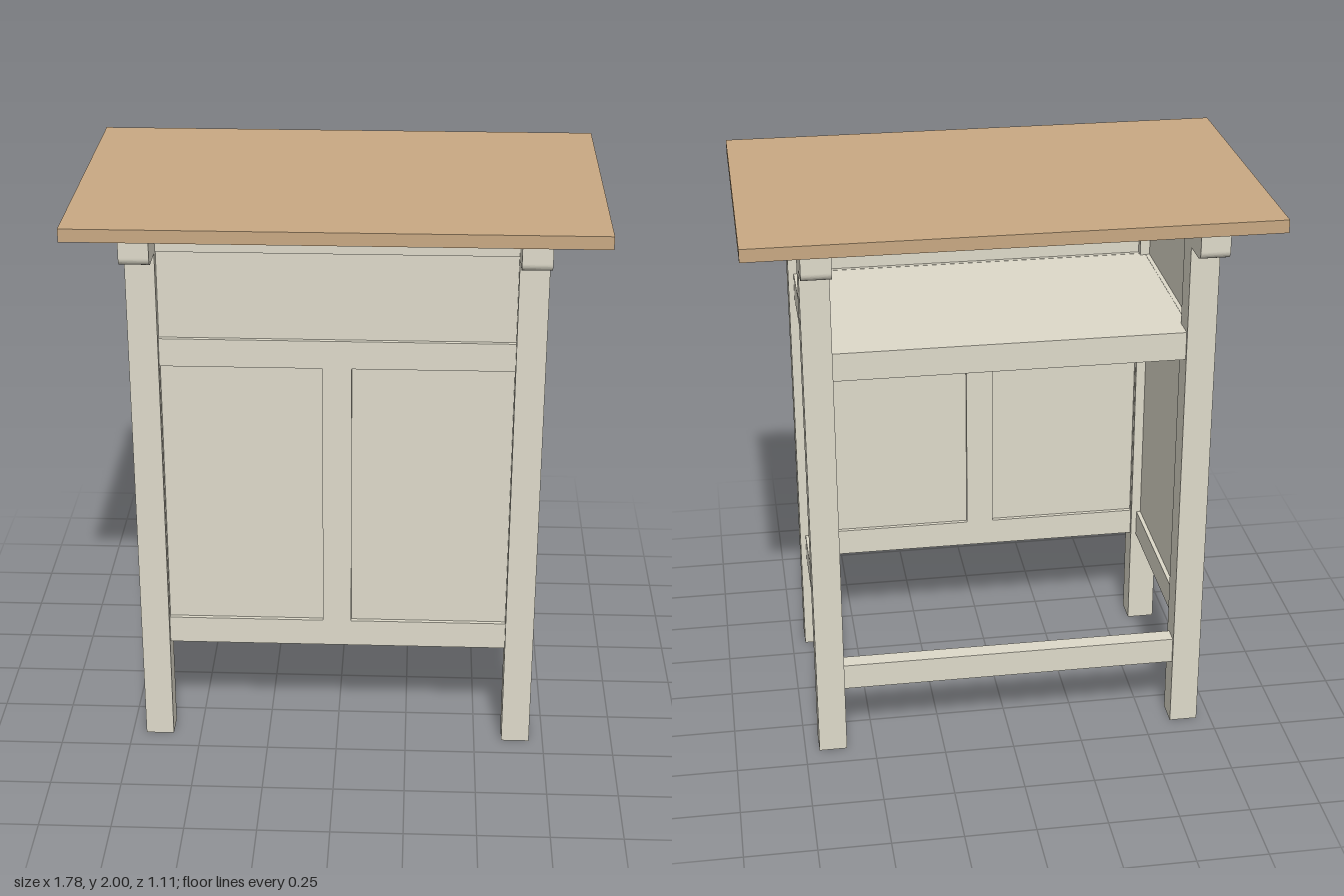
import * as THREE from 'three';

const paint = new THREE.MeshStandardMaterial({ color: 0xdedaca });
const wood = new THREE.MeshStandardMaterial({ color: 0xc9a983 });

const LEG_IN = 0.6, LEG_OUT = 0.7;         // legs in x
const Z_IN = 0.325, Z_OUT = 0.42;          // legs in z
const TOP_Y = 1.955, BEARER_Y = 1.87;

export function createModel() {
  const group = new THREE.Group();

  const add = (name, geometry, material = paint) => {
    const mesh = new THREE.Mesh(geometry, material);
    mesh.name = name;
    group.add(mesh);
    return mesh;
  };
  // Box given by its limits on each axis
  const box = (name, x0, x1, y0, y1, z0, z1, material) => {
    const mesh = add(name, new THREE.BoxGeometry(x1 - x0, y1 - y0, z1 - z0), material);
    mesh.position.set((x0 + x1) / 2, (y0 + y1) / 2, (z0 + z1) / 2);
    return mesh;
  };

  // Table top
  box('tableTop', -0.89, 0.89, TOP_Y, 2, -0.555, 0.555, wood);

  // End frame: two legs joined by a bearer with rounded lower corners
  const end = new THREE.Shape();
  const r = 0.03, b = 0.547;
  end.moveTo(-b, TOP_Y);
  end.lineTo(-b, BEARER_Y + r);
  end.absarc(-b + r, BEARER_Y + r, r, Math.PI, Math.PI * 1.5, false);
  end.lineTo(-Z_OUT, BEARER_Y);
  end.lineTo(-Z_OUT, 0);
  end.lineTo(-Z_IN, 0);
  end.lineTo(-Z_IN, BEARER_Y);
  end.lineTo(Z_IN, BEARER_Y);
  end.lineTo(Z_IN, 0);
  end.lineTo(Z_OUT, 0);
  end.lineTo(Z_OUT, BEARER_Y);
  end.lineTo(b - r, BEARER_Y);
  end.absarc(b - r, BEARER_Y + r, r, -Math.PI / 2, 0, false);
  end.lineTo(b, TOP_Y);
  const endGeometry = new THREE.ExtrudeGeometry(end, {
    depth: LEG_OUT - LEG_IN, bevelEnabled: false, curveSegments: 8,
  });
  endGeometry.rotateY(-Math.PI / 2);       // extrusion now runs along -x

  for (const [side, s] of [['left', 1], ['right', -1]]) {
    const frame = add(side + 'LegsAndBearer', endGeometry);
    frame.position.x = s > 0 ? LEG_OUT : -LEG_IN;

    // Recessed side panel with two rails standing proud of it
    const span = (name, a, c, y0, y1) =>
      box(side + name, Math.min(s * a, s * c), Math.max(s * a, s * c), y0, y1, -Z_IN, Z_IN);
    span('Panel', 0.635, 0.665, 0.4, BEARER_Y);
    span('LowerRail', 0.62, 0.68, 0.38, 0.48);
    span('UpperRail', 0.62, 0.68, 1.46, 1.56);
  }

  // Front frame: rails and centre stile around two openings
  const front = new THREE.Shape();
  front.moveTo(-LEG_IN, 0.38);
  front.lineTo(LEG_IN, 0.38);
  front.lineTo(LEG_IN, 1.56);
  front.lineTo(-LEG_IN, 1.56);
  front.closePath();
  for (const s of [1, -1]) {
    const hole = new THREE.Path();
    hole.moveTo(s * 0.05, 0.48);
    hole.lineTo(s * 0.05, 1.46);
    hole.lineTo(s * 0.599, 1.46);
    hole.lineTo(s * 0.599, 0.48);
    hole.closePath();
    front.holes.push(hole);
  }
  const frontFrame = add('frontFrame',
    new THREE.ExtrudeGeometry(front, { depth: 0.06, bevelEnabled: false }));
  frontFrame.position.z = 0.34;

  // Front panel behind the frame, and the rail above it
  box('frontPanel', -LEG_IN, LEG_IN, 0.4, BEARER_Y, 0.355, 0.385);
  box('frontTopRail', -LEG_IN, LEG_IN, BEARER_Y, TOP_Y, 0.34, 0.4);

  // Open back: upper rail, low stretcher and the shelf inside
  box('backRail', -LEG_IN, LEG_IN, 1.46, 1.56, -0.41, -0.35);
  box('backStretcher', -LEG_IN, LEG_IN, 0.25, 0.345, -0.41, -0.35);
  box('shelf', -0.62, 0.62, 1.53, 1.559, -0.35, 0.355);

  return group;
}
